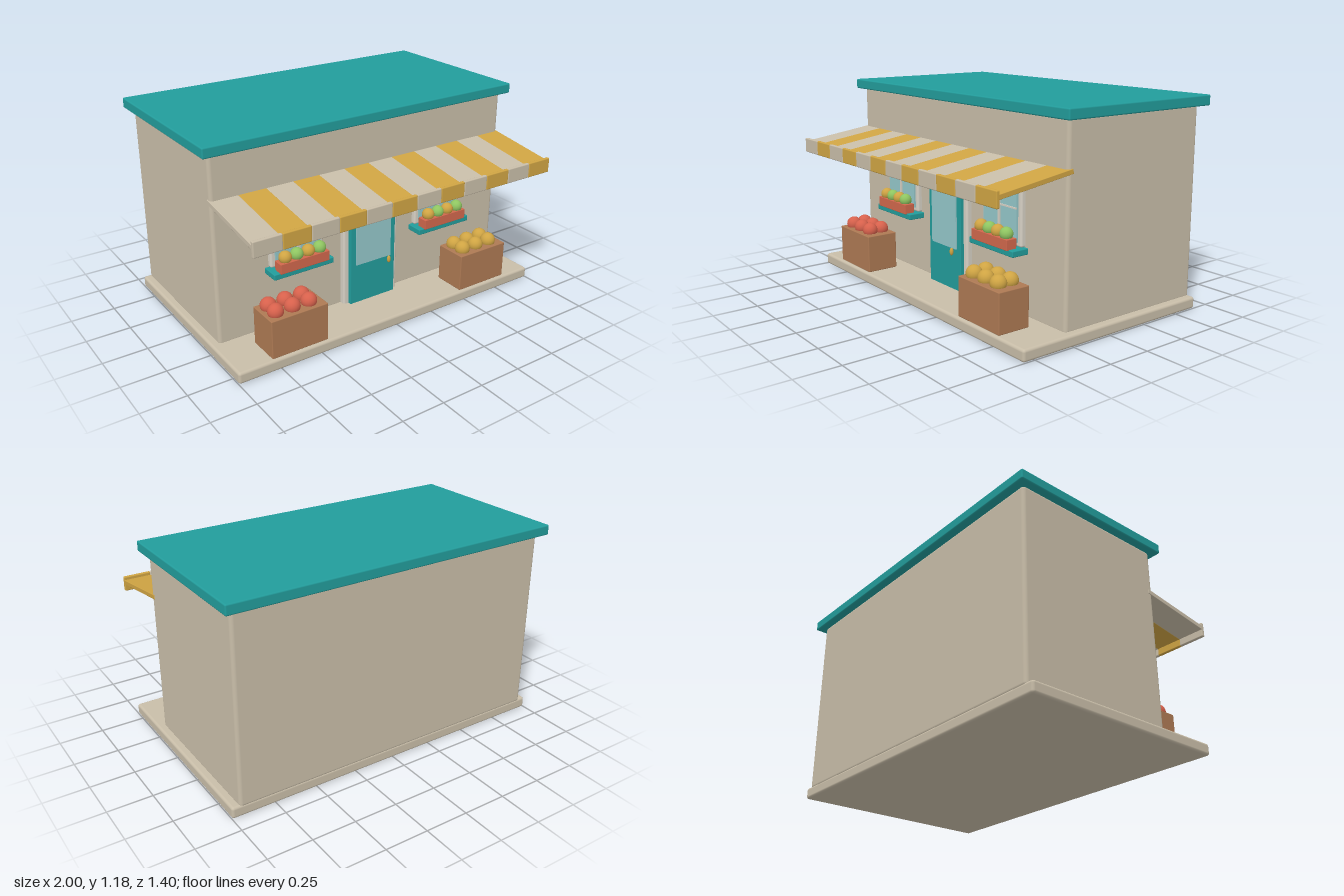
import * as THREE from 'three';
import { RoundedBoxGeometry } from 'three/addons/geometries/RoundedBoxGeometry.js';

function material(name, color) {
  const m = new THREE.MeshStandardMaterial({ color });
  m.name = name;
  return m;
}

export function createModel() {
  const model = new THREE.Group();
  model.name = 'shop';
  const wall = material('stone', 0xc8bda8);
  const trim = material('trim', 0xd6d0c4);
  const teal = material('teal', 0x229c9b);
  const gold = material('gold', 0xcfa443);
  const glass = material('glass', 0x93c6c9);
  const wood = material('wood', 0xad7953);
  const terracotta = material('terracotta', 0xd0674c);
  const red = material('red fruit', 0xd7614c);
  const green = material('green fruit', 0x8fc561);

  // Box from its [min, max] ranges, with rounded edges when r > 0
  function box(parent, name, mat, [x0, x1], [y0, y1], [z0, z1], r = 0) {
    const size = [x1 - x0, y1 - y0, z1 - z0];
    const geo = r ? new RoundedBoxGeometry(...size, 3, r) : new THREE.BoxGeometry(...size);
    const mesh = new THREE.Mesh(geo, mat);
    mesh.name = name;
    mesh.position.set((x0 + x1) / 2, (y0 + y1) / 2, (z0 + z1) / 2);
    parent.add(mesh);
    return mesh;
  }
  function ball(parent, name, mat, r, x, y, z) {
    const mesh = new THREE.Mesh(new THREE.SphereGeometry(r, 20, 14), mat);
    mesh.name = name;
    mesh.position.set(x, y, z);
    parent.add(mesh);
    return mesh;
  }
  function group(name, x = 0) {
    const g = new THREE.Group();
    g.name = name;
    g.position.x = x;
    model.add(g);
    return g;
  }

  // Building shell
  box(model, 'base', wall, [-1, 1], [0, 0.066], [-0.655, 0.57], 0.015);
  box(model, 'walls', wall, [-0.957, 0.957], [0.05, 1.13], [-0.655, 0.27], 0.02);
  box(model, 'roof', teal, [-1, 1], [1.12, 1.178], [-0.7, 0.31], 0.008);

  // Striped awning: sloping slats, each with a hanging valance
  const awning = group('awning');
  const dz = 0.457, dy = 0.066;
  for (let i = 0; i < 12; i++) {
    const mat = i % 2 ? gold : wall;
    const x = [-0.96 + i * 0.16, -0.8 + i * 0.16];
    const slat = box(awning, 'awningSlat', mat, x, [0.825, 0.851], [0.4635 - dz / 2, 0.4635 + dz / 2], 0.003);
    slat.rotation.x = Math.atan2(dy, dz);
    box(awning, 'valance', mat, x, [0.752, 0.838], [0.68, 0.701], 0.006);
  }

  // Door
  const door = group('door');
  box(door, 'doorFrame', trim, [-0.185, 0.185], [0.055, 0.72], [0.255, 0.302], 0.012);
  box(door, 'doorPanel', teal, [-0.153, 0.153], [0.06, 0.69], [0.29, 0.324], 0.004);
  box(door, 'doorGlass', glass, [-0.119, 0.119], [0.306, 0.622], [0.322, 0.331]);
  ball(door, 'doorKnob', gold, 0.011, 0.097, 0.293, 0.346).scale.y = 2;

  for (const side of [-1, 1]) {
    // Window with panes, glazing bars and a sill
    const win = group('window', side * 0.482);
    box(win, 'windowFrame', trim, [-0.164, 0.164], [0.43, 0.83], [0.255, 0.297], 0.012);
    box(win, 'windowGlass', glass, [-0.139, 0.139], [0.455, 0.805], [0.29, 0.308]);
    box(win, 'uprightBar', trim, [-0.008, 0.008], [0.455, 0.805], [0.305, 0.315]);
    box(win, 'crossBar', trim, [-0.139, 0.139], [0.63, 0.639], [0.305, 0.313]);
    box(win, 'sill', teal, [-0.185, 0.185], [0.396, 0.43], [0.262, 0.37], 0.005);

    // Fruit tray on the sill
    box(win, 'tray', terracotta, [-0.151, 0.151], [0.426, 0.484], [0.317, 0.38], 0.003);
    for (let i = 0; i < 4; i++) {
      ball(win, 'trayFruit', i % 2 ? green : gold, 0.036, -0.106 + i * 0.071, 0.504, 0.348);
    }

    // Crate of fruit on the step
    const crate = group('crate', side * 0.63);
    box(crate, 'crateBox', wood, [-0.17, 0.17], [0.07, 0.29], [0.37, 0.56], 0.005);
    for (let i = 0; i < 6; i++) {
      ball(crate, 'crateFruit', side < 0 ? red : gold, 0.044,
        -0.112 + (i % 3) * 0.1, 0.307, i < 3 ? 0.5 : 0.426);
    }
  }
  return model;
}
